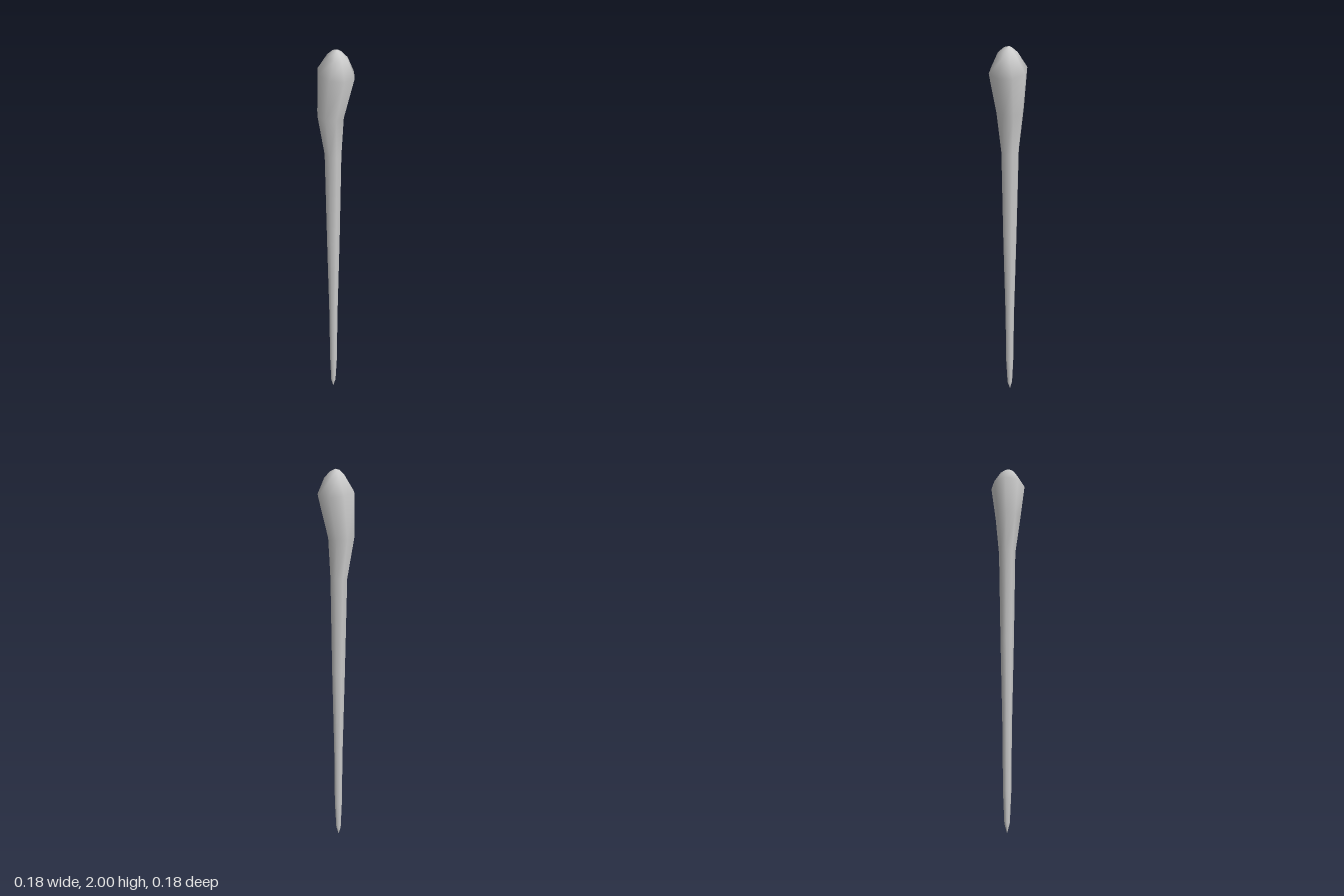
import * as THREE from 'three';

// Cross-sections from foot to crown: [height, radius, centre x, centre z, tilt towards +x]
const SECTIONS = [
  [0.0, 0.001, -0.017, 0, 0],
  [0.045, 0.013, -0.016, 0, 0],
  [0.2, 0.02, -0.015, 0, 0],
  [0.5, 0.023, -0.015, 0, 0],
  [0.97, 0.034, -0.015, 0, 0],
  [1.47, 0.043, -0.016, 0, -0.05],
  [1.675, 0.066, -0.025, 0.007, -0.1],
  [1.885, 0.0905, 0, 0, -0.12],
  [1.963, 0.05, 0.008, 0, -0.2],
  [1.99, 0.024, 0.006, 0, -0.2],
  [2.0, 0.001, 0.002, 0, 0],
];
const SIDES = 8;
const TWIST = -0.1;

// Skin a stack of eight-sided rings with shared vertices for smooth normals
function skin(sections) {
  const positions = [], index = [];
  for (const [y, r, cx, cz, tilt] of sections) {
    for (let i = 0; i < SIDES; i++) {
      const a = TWIST + (i / SIDES) * Math.PI * 2;
      const dx = Math.cos(a) * r;
      positions.push(cx + dx, y + dx * tilt, cz + Math.sin(a) * r);
    }
  }
  for (let k = 0; k < sections.length - 1; k++) {
    for (let i = 0; i < SIDES; i++) {
      const j = (i + 1) % SIDES;
      const a = k * SIDES + i, b = k * SIDES + j;
      index.push(a, a + SIDES, b, b, a + SIDES, b + SIDES);
    }
  }
  // Close both ends
  const top = (sections.length - 1) * SIDES;
  for (let i = 1; i < SIDES - 1; i++) {
    index.push(0, i, i + 1, top, top + i + 1, top + i);
  }
  const geometry = new THREE.BufferGeometry();
  geometry.setAttribute('position', new THREE.Float32BufferAttribute(positions, 3));
  geometry.setIndex(index);
  geometry.computeVertexNormals();
  return geometry;
}

export function createModel() {
  const group = new THREE.Group();
  group.name = 'knobbedStick';

  // Tapered shaft swelling into a rounded, slightly leaning knob
  const stick = new THREE.Mesh(
    skin(SECTIONS),
    new THREE.MeshStandardMaterial({ color: 0xcccccc })
  );
  stick.name = 'shaftAndKnob';
  group.add(stick);
  return group;
}
